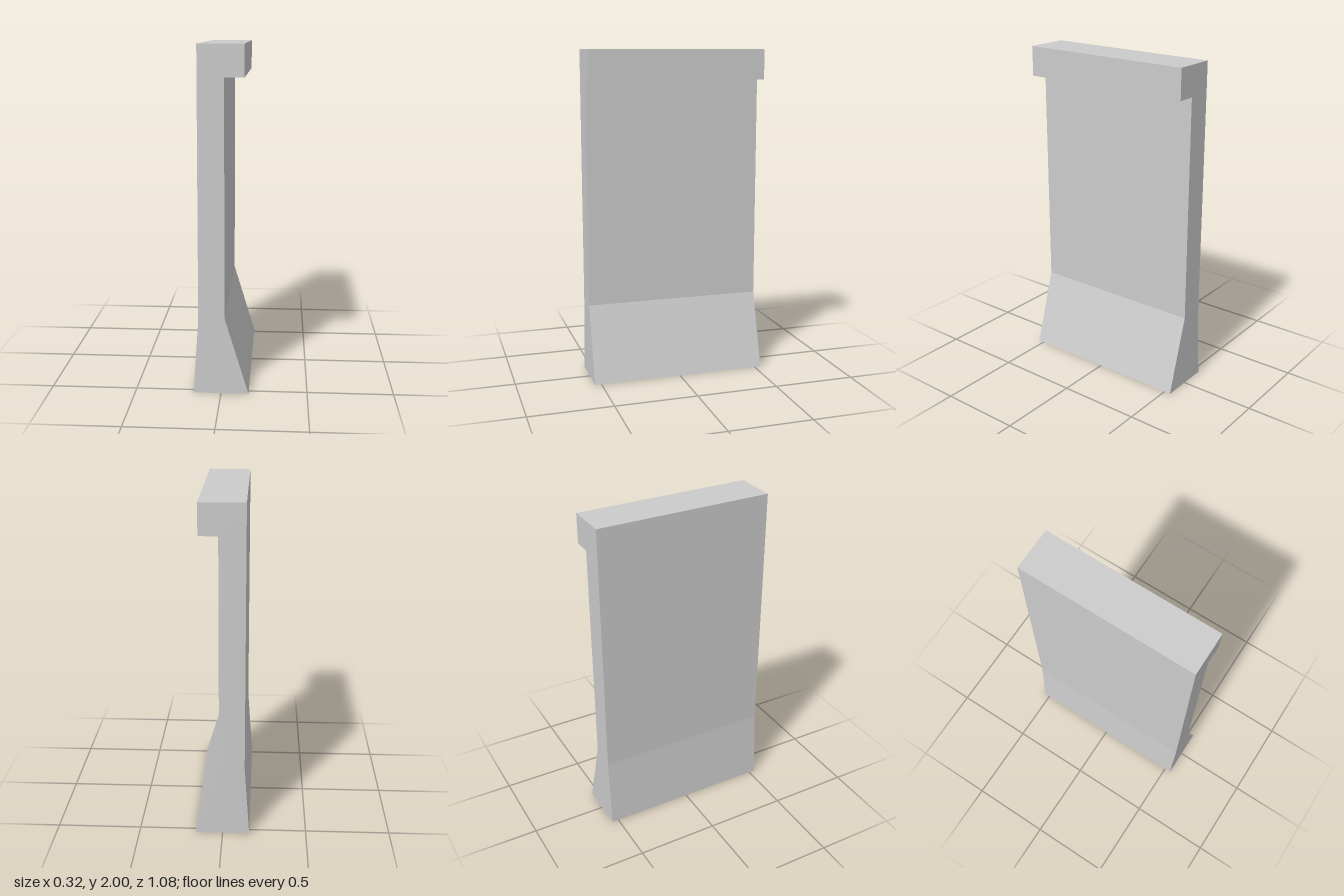
import * as THREE from 'three';

export function createModel() {
  const group = new THREE.Group();
  group.name = 'wallSegment';
  const length = 1.08;

  // Cross-section: flared foot, thin upright wall, overhanging cap on +x
  const profile = new THREE.Shape([
    [-0.16, 0], [0.16, 0],
    [0.02, 0.46], [0.02, 1.82],
    [0.13, 1.82], [0.13, 2],
    [-0.13, 2], [-0.13, 0.44],
  ].map(([x, y]) => new THREE.Vector2(x, y)));

  // Run the section along z, centred
  const geometry = new THREE.ExtrudeGeometry(profile, { depth: length, bevelEnabled: false });
  geometry.translate(0, 0, -length / 2);

  const material = new THREE.MeshStandardMaterial({ color: 0xcccccc, flatShading: true });
  const wall = new THREE.Mesh(geometry, material);
  wall.name = 'barrierWall';
  group.add(wall);
  return group;
}
